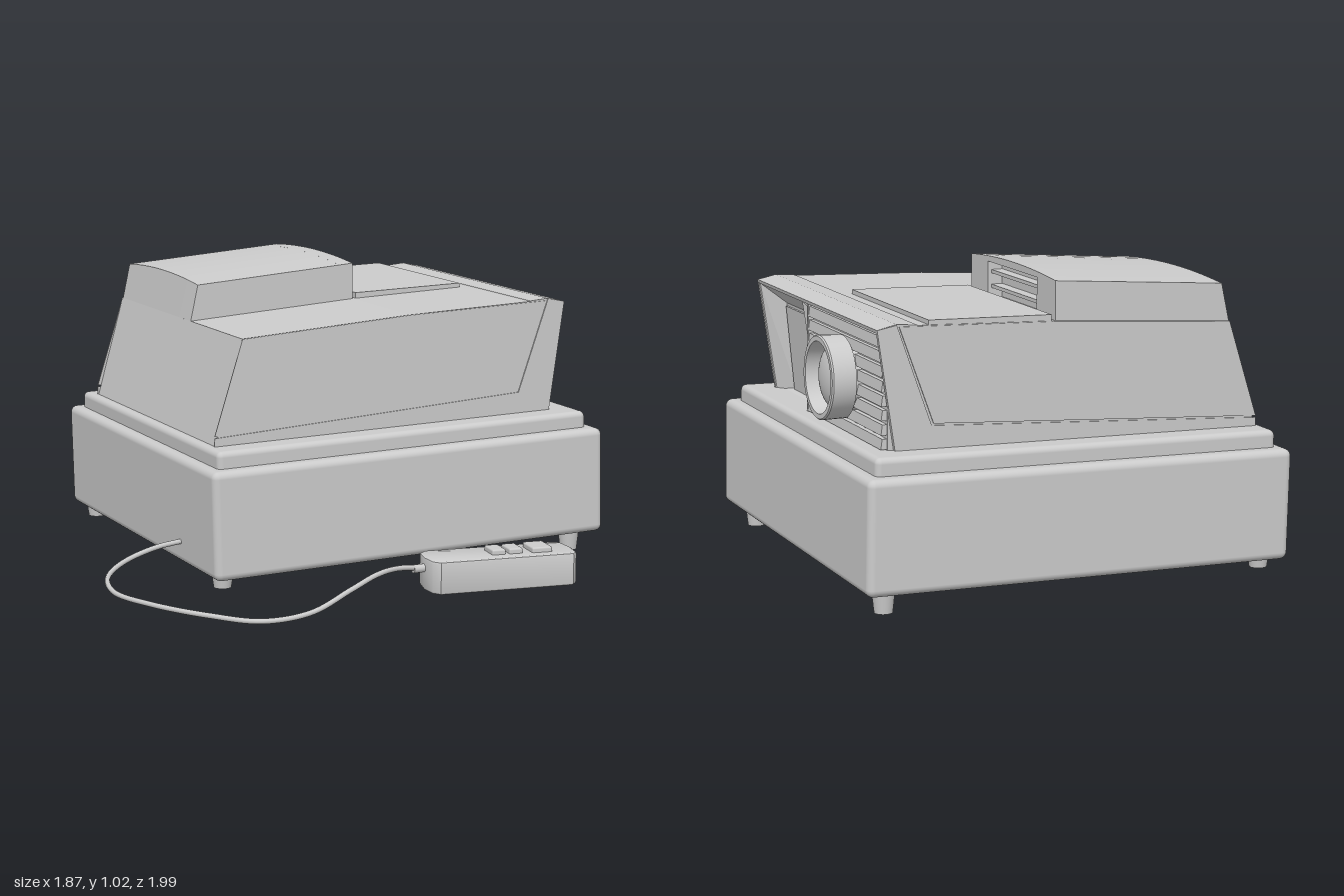
import * as THREE from 'three';
import { toCreasedNormals } from 'three/addons/utils/BufferGeometryUtils.js';
import { RoundedBoxGeometry } from 'three/addons/geometries/RoundedBoxGeometry.js';

const TILT = 0.024; // the whole housing leans up toward the lens end
const grey = new THREE.MeshStandardMaterial({ color: 0xcccccc });
const greyDouble = new THREE.MeshStandardMaterial({ color: 0xcccccc, side: THREE.DoubleSide });

export function createModel() {
  const model = new THREE.Group();
  const add = (name, geometry, parent = model, material = grey) => {
    const mesh = new THREE.Mesh(geometry, material);
    mesh.name = name;
    parent.add(mesh);
    return mesh;
  };
  const rounded = (name, size, pos, r, parent = model) => {
    const mesh = add(name, new RoundedBoxGeometry(...size, 3, r), parent);
    mesh.position.set(...pos);
    return mesh;
  };
  // Side profile (x, y) extruded from z0 to z1
  const slab = (name, pts, z0, z1) => {
    const shape = new THREE.Shape(pts.map(p => new THREE.Vector2(...p)));
    const g = new THREE.ExtrudeGeometry(shape, { depth: z1 - z0, bevelEnabled: false });
    g.translate(0, 0, z0);
    return add(name, g);
  };
  // Box whose ends, floor and roof follow rules: xAt(u, v), yAt(x, z, v)
  const block = (name, z0, z1, xAt, yAt) => {
    const g = new THREE.BoxGeometry(1, 1, 1, 2, 1, 10);
    const p = g.attributes.position;
    for (let i = 0; i < p.count; i++) {
      const u = p.getX(i) + 0.5, v = p.getY(i) + 0.5;
      const z = z0 + (p.getZ(i) + 0.5) * (z1 - z0), x = xAt(u, v);
      p.setXYZ(i, x, yAt(x, z, v), z);
    }
    g.computeVertexNormals();
    return add(name, g);
  };

  // Base tray and stepped plinth
  rounded('base', [1.5, 0.375, 1.43], [0.175, 0.245, -0.285], 0.025).rotation.z = TILT;
  rounded('plinth', [1.42, 0.2, 1.33], [0.17, 0.39, -0.285], 0.02).rotation.z = TILT;

  // Feet
  for (const [x, h] of [[-0.51, 0.07], [0.84, 0.1]]) {
    for (const z of [0.335, -0.9]) {
      const foot = add('foot', new THREE.CylinderGeometry(0.041, 0.03, h, 24));
      foot.position.set(x, h / 2, z);
    }
  }

  // Upper housing: core, with side walls and roof lip reaching past it
  const zF = 0.285, zB = -0.86;
  slab('housing', [[-0.515, 0.46], [0.7, 0.47], [0.74, 0.9], [0.22, 0.879], [-0.41, 0.835]], zB + 0.004, zF - 0.004);
  const wall = [[0.69, 0.47], [0.775, 0.47], [0.836, 0.892], [0.77, 0.906], [0.7, 0.9]];
  slab('frontWallEdge', wall, zF - 0.014, zF - 0.004);
  slab('backWallEdge', wall, zB + 0.004, zB + 0.014);
  slab('roofLip', [[0.72, 0.88], [0.833, 0.88], [0.836, 0.892], [0.77, 0.906], [0.7, 0.9]], zB + 0.004, zF - 0.004);

  // Side panels with a slanted seam, then the raised end strips
  const panel = [[-0.514, 0.508], [0.648, 0.582], [0.762, 0.898], [0.22, 0.878], [-0.41, 0.834]];
  const strip = [[-0.515, 0.47], [0.775, 0.47], [0.836, 0.892], [0.77, 0.904], [0.655, 0.576], [-0.514, 0.502]];
  for (const [side, z] of [['front', zF - 0.004], ['back', zB]]) {
    slab(side + 'SidePanel', panel, z, z + 0.004);
    slab(side + 'SideTrim', strip, z, z + 0.004);
  }

  // Funnel-shaped bay beside the grille, with its flat door
  const edgeX = y => 0.78 + (y - 0.51) * 0.144;
  const outer = [[0.5, 0.27], [0.5, -0.16], [0.88, -0.16], [0.88, 0.27]].map(([y, z]) => [edgeX(y) - 0.003, y, z]);
  const inner = [[0.51, 0.21], [0.51, -0.12], [0.815, -0.12], [0.815, 0.21]].map(([y, z]) => [y > 0.6 ? 0.755 : 0.725, y, z]);
  const tris = [];
  for (let i = 0; i < 4; i++) {
    const j = (i + 1) % 4;
    tris.push(...outer[i], ...outer[j], ...inner[j], ...outer[i], ...inner[j], ...inner[i]);
  }
  tris.push(...inner[0], ...inner[1], ...inner[2], ...inner[0], ...inner[2], ...inner[3]);
  const funnel = new THREE.BufferGeometry();
  funnel.setAttribute('position', new THREE.Float32BufferAttribute(tris, 3));
  funnel.computeVertexNormals();
  add('bay', funnel, model, greyDouble);
  slab('bayDoor', [[0.71, 0.5], [0.735, 0.5], [0.762, 0.805], [0.74, 0.805]], -0.11, 0.2);

  // Grille with horizontal louvres
  slab('grille', [[0.68, 0.48], [0.8, 0.48], [0.795, 0.88], [0.72, 0.88]], -0.845, -0.16);
  for (let i = 0; i < 8; i++) {
    const y = 0.508 + i * 0.046;
    slab('louvre', [[0.78, y], [0.82 - i * 0.001, y], [0.815 - i * 0.001, y + 0.034], [0.78, y + 0.034]], -0.84, -0.165);
  }
  slab('grilleEdge', [[0.7, 0.48], [0.82, 0.48], [0.812, 0.875], [0.72, 0.88]], -0.172, -0.16);

  // Lens barrel and glass
  const lens = new THREE.Group();
  lens.name = 'lens';
  lens.position.set(0.8, 0.685, -0.507);
  lens.rotation.z = TILT - Math.PI / 2;
  model.add(lens);
  const profile = [[0.122, -0.03], [0.122, 0.02], [0.136, 0.022], [0.138, 0.1], [0.134, 0.105], [0.118, 0.105], [0.11, 0.04], [0, 0.04]];
  const barrel = new THREE.LatheGeometry(profile.map(p => new THREE.Vector2(...p)), 48);
  add('lensBarrel', toCreasedNormals(barrel, 0.5), lens);
  const glass = add('lensGlass', new THREE.SphereGeometry(0.109, 40, 12, 0, Math.PI * 2, 0, Math.PI / 2), lens);
  glass.scale.y = 0.45;
  glass.position.y = 0.04;

  // Slide magazine cover: crowned roof, slot opening toward the lens end
  const zm = -0.515, half = 0.337;
  const crown = (x, z) => 1.008 + (x - 0.22) * 0.077 + 0.016 * (1 - ((z - zm) / half) ** 2);
  const coverPart = (name, z0, z1, x0, x1, floor) =>
    block(name, z0, z1, (u, v) => x0(v) + u * (x1 - x0(v)), (x, z, v) => (v ? crown(x, z) : floor(x)));
  const roofY = x => 0.83 + (x + 0.41) * 0.07;
  const flat = x => () => x;
  coverPart('magazineCover', zm - half, zm + half, v => (v ? -0.382 : -0.411), 0.17, roofY);
  coverPart('coverJamb', zm - half, -0.71, flat(0.17), 0.222, roofY);
  coverPart('coverJamb', -0.32, zm + half, flat(0.17), 0.222, roofY);
  coverPart('coverLintel', -0.71, -0.32, flat(0.17), 0.222, flat(1.0));
  for (const y of [0.915, 0.965]) {
    const rail = add('slotRail', new THREE.BoxGeometry(0.04, 0.012, 0.39));
    rail.position.set(0.19, y, zm);
  }

  // Slide tray lid in front of the cover
  block('trayLid', zm - half, zm + half, u => 0.235 + u * 0.425,
    (x, z, v) => (v ? 0.9 + (x - 0.235) * 0.028 : 0.865));

  // Wired remote control
  const remote = new THREE.Group();
  remote.name = 'remote';
  remote.position.set(0.257, 0.105, 0.867);
  remote.rotation.y = -0.14;
  model.add(remote);
  const w = 0.26, d = 0.088;
  const plan = new THREE.Shape([[-w + 0.03, -d], [w - 0.025, -d], [w - 0.008, -d + 0.02], [w, 0], [w - 0.008, d - 0.02],
    [w - 0.025, d], [-w + 0.03, d], [-w + 0.008, d - 0.025], [-w, 0], [-w + 0.008, -d + 0.025]].map(p => new THREE.Vector2(...p)));
  const caseGeo = new THREE.ExtrudeGeometry(plan, { depth: 0.094, bevelSize: 0.006, bevelOffset: -0.006, bevelThickness: 0.008, bevelSegments: 2 });
  caseGeo.rotateX(-Math.PI / 2).translate(0, -0.047, 0);
  add('remoteCase', toCreasedNormals(caseGeo, 0.6), remote);
  for (const [x, bw, bd] of [[-0.01, 0.048, 0.08], [0.05, 0.048, 0.08], [0.14, 0.07, 0.095]]) {
    rounded('button', [bw, 0.03, bd], [x, 0.057, 0], 0.006, remote);
  }

  // Cord from the housing to the remote
  const cord = new THREE.CatmullRomCurve3([
    [-0.56, 0.118, 0.11], [-0.66, 0.105, 0.112], [-0.78, 0.078, 0.14], [-0.88, 0.055, 0.23], [-0.93, 0.045, 0.42],
    [-0.88, 0.045, 0.61], [-0.76, 0.042, 0.81], [-0.62, 0.036, 0.93], [-0.47, 0.057, 0.968], [-0.32, 0.11, 0.945],
    [-0.2, 0.137, 0.895], [-0.09, 0.135, 0.842], [0.02, 0.122, 0.83],
  ].map(p => new THREE.Vector3(...p)));
  add('cord', new THREE.TubeGeometry(cord, 90, 0.009, 10));
  const relief = add('cordRelief', new THREE.CylinderGeometry(0.014, 0.014, 0.05, 16));
  relief.position.set(-0.015, 0.124, 0.831);
  relief.rotation.z = Math.PI / 2;

  return model;
}
